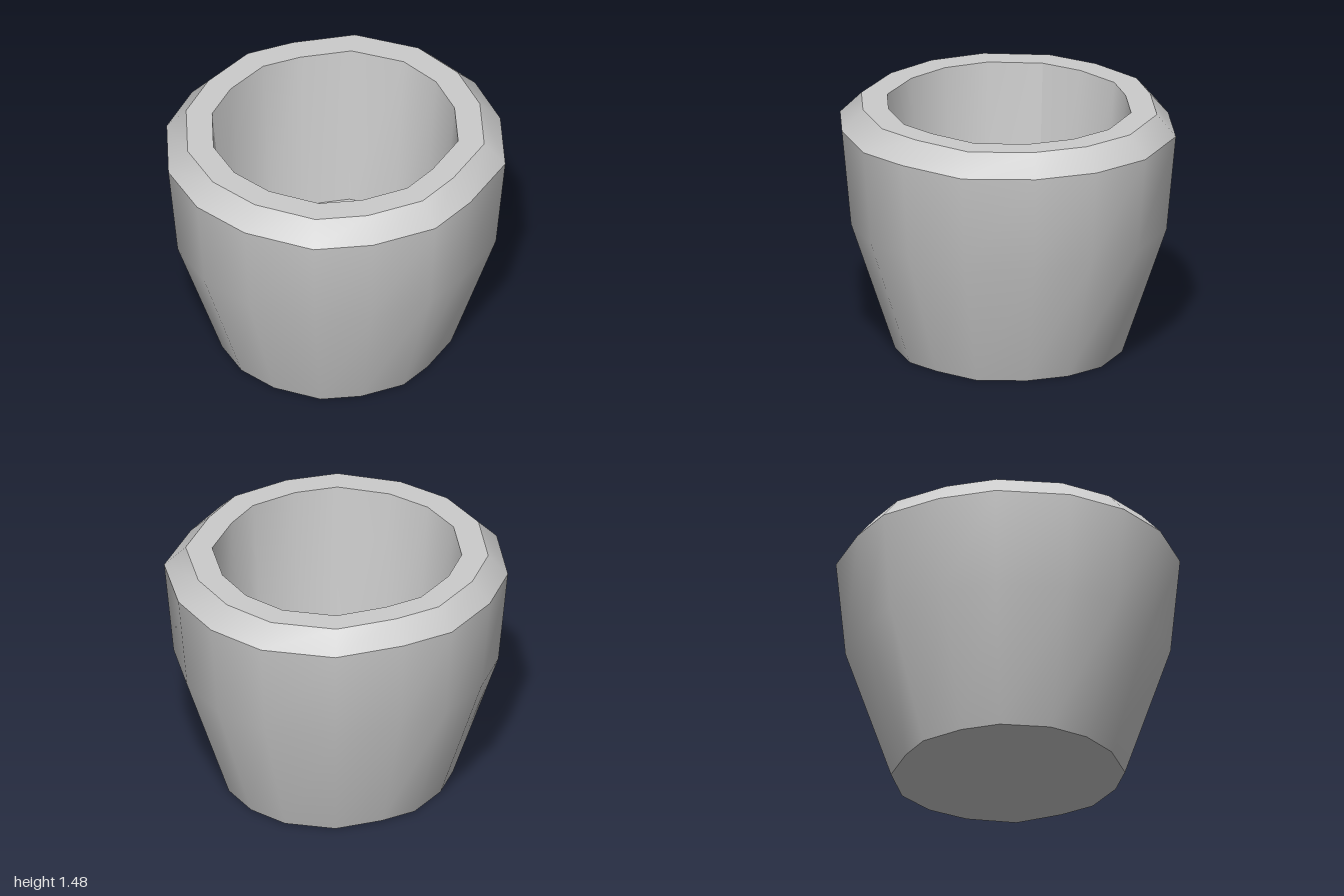
import * as THREE from 'three';

// Sixteen-sided, slightly irregular outline [x, z] at full width, counterclockwise from above
const OUTLINE = [
  [-0.725, 0.69], [-0.365, 0.94], [0, 1], [0.36, 0.92],
  [0.725, 0.69], [0.895, 0.385], [0.98, 0], [0.90, -0.31],
  [0.725, -0.69], [0.36, -0.92], [0, -1], [-0.365, -0.945],
  [-0.725, -0.69], [-0.90, -0.31], [-0.98, 0], [-0.895, 0.385],
];

// Smooth band through levels of [scale, y, xShift]; an unwelded band keeps one crease
function band(name, levels, material, welded = true) {
  const n = OUTLINE.length;
  const columns = welded ? n : n + 1;
  const positions = [];
  const index = [];
  for (const [scale, y, shift = 0] of levels) {
    for (let i = 0; i < columns; i++) {
      const [x, z] = OUTLINE[i % n];
      positions.push(x * scale + shift, y, z * scale);
    }
  }
  for (let r = 0; r < levels.length - 1; r++) {
    for (let i = 0; i < n; i++) {
      const a = r * columns + i;
      const b = r * columns + ((i + 1) % columns);
      index.push(a, b, b + columns, a, b + columns, a + columns);
    }
  }
  const geometry = new THREE.BufferGeometry();
  geometry.setAttribute('position', new THREE.Float32BufferAttribute(positions, 3));
  geometry.setIndex(index);
  geometry.computeVertexNormals();
  const mesh = new THREE.Mesh(geometry, material);
  mesh.name = name;
  return mesh;
}

// Flat cap facing up or down
function cap(name, scale, y, shift, up, material) {
  const points = OUTLINE.map(([x, z]) => new THREE.Vector2(x * scale + shift, up ? -z * scale : z * scale));
  const geometry = new THREE.ShapeGeometry(new THREE.Shape(points));
  geometry.rotateX(up ? -Math.PI / 2 : Math.PI / 2);
  const mesh = new THREE.Mesh(geometry, material);
  mesh.name = name;
  mesh.position.y = y;
  return mesh;
}

export function createModel() {
  const material = new THREE.MeshStandardMaterial({ color: 0xcccccc });
  const cup = new THREE.Group();
  cup.name = 'cup';

  // Outside, from the foot up to the rim
  cup.add(cap('base', 0.68, 0, 0, false, material));
  cup.add(band('outerWall', [[0.68, 0], [0.945, 0.775], [1, 1.35]], material));
  cup.add(band('rimBevel', [[1, 1.35], [0.88, 1.475, -0.008]], material));
  cup.add(band('rim', [[0.88, 1.475, -0.008], [0.726, 1.475, -0.008]], material));

  // Hollow
  cup.add(band('innerWall', [[0.726, 1.475, -0.008], [0.638, 0.45, -0.008]], material, false));
  cup.add(cap('floor', 0.638, 0.45, -0.008, true, material));
  return cup;
}
